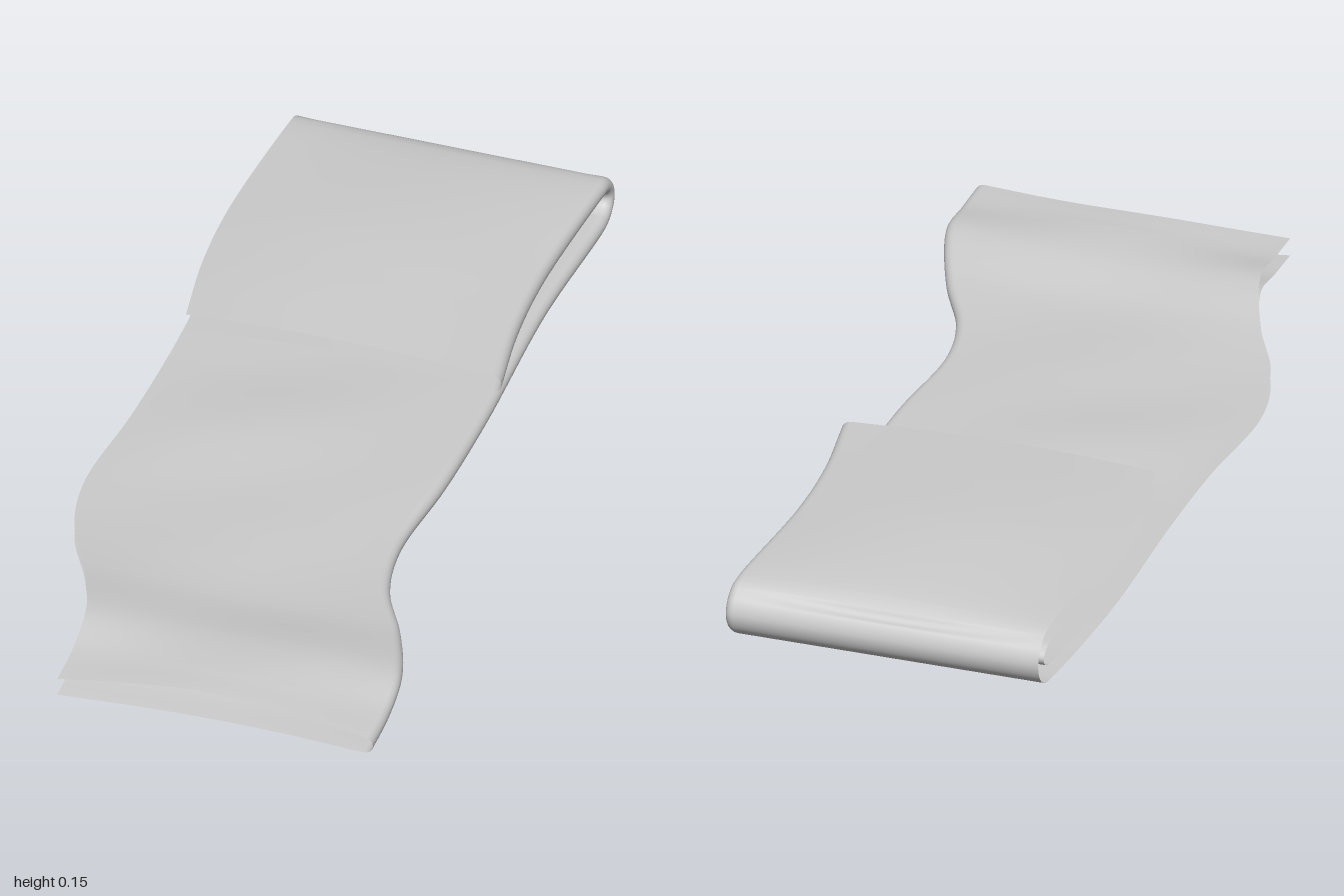
import * as THREE from 'three';

const WIDTH = 0.66, EDGE = 0.02, ROWS = 180, ACROSS = 24, ARC = 10;
const { lerp, smoothstep } = THREE.MathUtils;

// Stations: left edge x, z, outer y, inner y, outer arch, inner arch
const LOWER_RUN = [
  [-0.24, 1.0, 0.016, 0.055, -0.01, 0.012],
  [-0.243, 0.9, 0.022, 0.06, -0.01, 0.01],
  [-0.255, 0.78, 0.04, 0.078, -0.01, -0.004],
  [-0.32, 0.6, 0.02, 0.056, -0.008, -0.004],
  [-0.395, 0.45, 0.01, 0.046, -0.002, 0],
  [-0.425, 0.3, 0.008, 0.044, 0, 0.003],
  [-0.412, 0.05, 0.007, 0.045, 0, 0.008],
  [-0.412, -0.2, 0.006, 0.042, 0, 0.004],
  [-0.425, -0.6, 0.006, 0.042, 0, 0.002],
];
const UPPER_FLAP = [
  [-0.426, -0.6, 0.132, 0.09, 0.023, 0.016],
  [-0.415, -0.4, 0.131, 0.09, 0.02, 0.02],
  [-0.385, -0.21, 0.13, 0.09, 0.012, 0.022],
];

// Curves followed by the outer layer, the inner layer and their arches
function layerCurves() {
  const outer = [], inner = [], arch = [];
  const run = stations => {
    for (const [x, z, yOut, yIn, archOut, archIn] of stations) {
      outer.push(new THREE.Vector3(x, yOut, z));
      inner.push(new THREE.Vector3(x, yIn, z));
      arch.push(new THREE.Vector3(archOut, archIn, 0));
    }
  };
  run(LOWER_RUN);
  // half turn at the back
  for (let k = 0; k <= 6; k++) {
    const a = Math.PI * k / 6, s = Math.sin(a), c = Math.cos(a);
    outer.push(new THREE.Vector3(-0.412, 0.068 - 0.062 * c, -0.925 - 0.075 * s));
    inner.push(new THREE.Vector3(-0.412, 0.068 - 0.024 * c, -0.925 - 0.041 * s));
    arch.push(new THREE.Vector3(k === 6 ? 0.006 : 0, k === 6 ? 0.003 : 0, 0));
  }
  run(UPPER_FLAP);
  return [outer, inner, arch].map(p => new THREE.CatmullRomCurve3(p));
}

// Cross-section of the doubled cloth: outer layer, rounded closed edge, inner layer
function section() {
  const pts = [];
  for (let j = 0; j <= ACROSS; j++) pts.push({ s: j / ACROSS, out: 0, mix: 0 });
  for (let j = 1; j < ARC; j++) {
    const a = Math.PI * j / ARC;
    pts.push({ s: 1, out: EDGE * Math.sin(a), mix: (1 - Math.cos(a)) / 2 });
  }
  for (let j = ACROSS; j >= 0; j--) pts.push({ s: j / ACROSS, out: 0, mix: 1 });
  return pts;
}

function clothGeometry() {
  const [outer, inner, arches] = layerCurves();
  const profile = section(), n = profile.length, pos = [], idx = [];
  for (let i = 0; i <= ROWS; i++) {
    const t = i / ROWS;
    const o = outer.getPoint(t), q = inner.getPoint(t), arch = arches.getPoint(t);
    // soft creases on the lower run, a curved hem and a raised corner at the front
    const crease = t < 0.5 ? 0.003 * smoothstep(o.z, -0.7, -0.1) : 0;
    const hem = 0.03 * smoothstep(o.z, 0.85, 1);
    const lift = 0.008 * smoothstep(o.z, 0.7, 1);
    for (const { s, out, mix } of profile) {
      const hump = Math.sin(Math.PI * s);
      const z = lerp(o.z, q.z, mix) - hem * hump;
      const y = lerp(o.y, q.y, mix) + lerp(arch.x, arch.y, mix) * hump + lift * s
        + crease * hump * mix * Math.sin(13 * z + 5 * s);
      pos.push(o.x + WIDTH * s + out, y, z);
    }
  }
  for (let i = 0; i < ROWS; i++) {
    for (let j = 0; j < n - 1; j++) {
      const a = i * n + j, c = a + n;
      idx.push(a, c, a + 1, a + 1, c, c + 1);
    }
  }
  const g = new THREE.BufferGeometry();
  g.setAttribute('position', new THREE.Float32BufferAttribute(pos, 3));
  g.setIndex(idx);
  g.computeVertexNormals();
  return g;
}

export function createModel() {
  const group = new THREE.Group();
  group.name = 'foldedCloth';
  const fabric = new THREE.MeshStandardMaterial({ color: 0xcccccc, side: THREE.DoubleSide });
  fabric.name = 'lightGreyFabric';
  const cloth = new THREE.Mesh(clothGeometry(), fabric);
  cloth.name = 'doubledCloth';
  group.add(cloth);
  return group;
}
